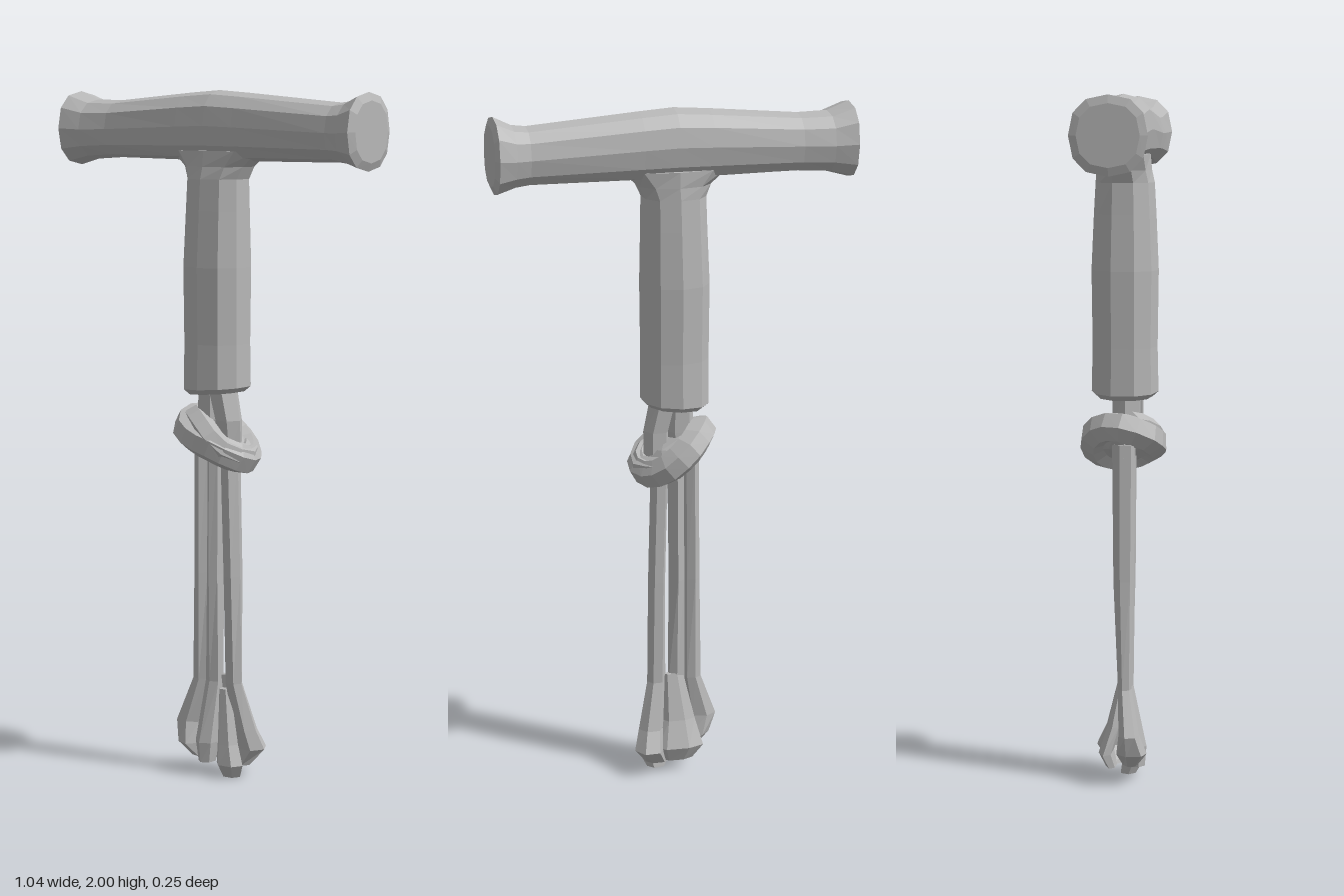
import * as THREE from 'three';

const grey = new THREE.MeshStandardMaterial({ color: 0xb8b8b8 });
grey.name = 'plain grey';
grey.flatShading = true;

// Closed loft along y. Each row: [y, centreX, centreZ, radiusX, radiusZ, slantX]
function loft(rows, sides, power = 1, phase = 0, twist = 0) {
  const pos = [];
  const bend = (v) => Math.sign(v) * Math.pow(Math.abs(v), power);
  const point = (j, i) => {
    const [y, cx, cz, rx, rz, slant = 0] = rows[j];
    const a = ((i + phase) / sides) * Math.PI * 2;
    const u = bend(Math.cos(a)) * rx, w = bend(Math.sin(a)) * rz;
    const t = twist * j;
    return [cx + u * Math.cos(t) - w * Math.sin(t), y + slant * Math.cos(a),
      cz + u * Math.sin(t) + w * Math.cos(t)];
  };
  const last = rows.length - 1;
  const centre = (j) => [rows[j][1], rows[j][0], rows[j][2]];
  for (let i = 0; i < sides; i++) {
    for (let j = 0; j < last; j++) {
      const a = point(j, i), b = point(j + 1, i), c = point(j, i + 1), d = point(j + 1, i + 1);
      pos.push(...a, ...b, ...c, ...c, ...b, ...d);
    }
    pos.push(...centre(0), ...point(0, i), ...point(0, i + 1));
    pos.push(...centre(last), ...point(last, i + 1), ...point(last, i));
  }
  const geo = new THREE.BufferGeometry();
  geo.setAttribute('position', new THREE.Float32BufferAttribute(pos, 3));
  geo.computeVertexNormals();
  return geo;
}

export function createModel() {
  const model = new THREE.Group();
  model.name = 'ropeHandle';
  const add = (name, geo) => {
    const mesh = new THREE.Mesh(geo, grey);
    mesh.name = name;
    model.add(mesh);
    return mesh;
  };

  // Horizontal grip with flared ends, lofted upright and laid along x
  const bar = loft([
    [-0.521, -1.888, -0.003, 0.085, 0.085],
    [-0.515, -1.888, -0.003, 0.108, 0.106],
    [-0.45, -1.885, -0.005, 0.087, 0.094],
    [-0.36, -1.887, -0.006, 0.083, 0.085],
    [-0.1, -1.897, -0.006, 0.096, 0.085],
    [0, -1.9, -0.006, 0.1, 0.085],
    [0.1, -1.897, -0.006, 0.096, 0.085],
    [0.42, -1.885, -0.005, 0.082, 0.085],
    [0.46, -1.885, -0.005, 0.087, 0.092],
    [0.51, -1.888, -0.003, 0.108, 0.104],
    [0.52, -1.888, -0.003, 0.085, 0.08],
  ], 12, 0.85);
  bar.rotateZ(-Math.PI / 2);
  add('crossbar', bar);

  // Upright grip, widening into the crossbar
  add('gripShaft', loft([
    [1.135, -0.005, 0, 0.08, 0.08, 0.006],
    [1.15, -0.005, 0, 0.098, 0.097, 0.006],
    [1.28, -0.005, 0, 0.097, 0.094],
    [1.5, -0.005, 0, 0.099, 0.097],
    [1.66, -0.003, 0, 0.094, 0.09],
    [1.75, -0.002, 0, 0.092, 0.085],
    [1.785, 0, -0.003, 0.108, 0.08],
    [1.83, 0, -0.005, 0.16, 0.078],
  ], 10, 0.9, 0.5));

  // Rope between grip and knot: two slanting strands
  add('neckLeft', loft([
    [0.96, 0.045, 0.005, 0.04, 0.035], [1.06, 0.045, 0.012, 0.04, 0.042],
    [1.16, 0.02, 0.01, 0.045, 0.045]], 6));
  add('neckRight', loft([
    [0.96, -0.035, 0, 0.04, 0.035], [1.06, -0.02, 0.005, 0.045, 0.045],
    [1.16, -0.02, 0.005, 0.04, 0.045]], 6));

  // Knot: a tilted lumpy loop with a strand crossing it
  const loop = [];
  for (let i = 0; i < 10; i++) {
    const a = (i / 10) * Math.PI * 2;
    const r = 0.084 + 0.006 * Math.sin(a * 3);
    const x = Math.cos(a) * r;
    loop.push(new THREE.Vector3(x, 1.0 - x * 0.62 + 0.012 * Math.sin(a * 2), Math.sin(a) * r));
  }
  const rope = (points, segments, radius, closed) => new THREE.TubeGeometry(
    new THREE.CatmullRomCurve3(points, closed), segments, radius, 6, closed);
  add('knotLoop', rope(loop, 16, 0.046, true));
  const core = new THREE.IcosahedronGeometry(1, 1);
  core.scale(0.1, 0.045, 0.09).rotateZ(-0.55).translate(0, 1.0, 0);
  add('knotCore', core);
  const crossing = [[-0.07, 1.06, 0.02], [-0.01, 1.04, 0.065], [0.06, 0.985, 0.075],
    [0.09, 0.955, 0.0], [0.04, 0.965, -0.075]];
  add('knotCrossing', rope(crossing.map((p) => new THREE.Vector3(...p)), 8, 0.038, false));

  // Hanging strands, pinched together and frayed at the bottom
  const strands = {
    leftStrand: [[0.03, 0.055, -0.03, 0.035, 0.02], [0.08, 0.085, -0.05, 0.045, 0.045],
      [0.14, 0.075, -0.03, 0.038, 0.035], [0.28, 0.052, -0.004, 0.028, 0.024],
      [0.6, 0.05, -0.003, 0.026, 0.033], [1.0, 0.04, -0.002, 0.026, 0.036]],
    rightStrand: [[0.05, -0.05, 0.02, 0.03, 0.022], [0.09, -0.08, 0.025, 0.038, 0.045],
      [0.15, -0.095, 0.018, 0.043, 0.03], [0.28, -0.062, 0.004, 0.026, 0.02],
      [0.6, -0.057, 0, 0.024, 0.03], [1.0, -0.053, 0, 0.024, 0.034]],
    middleStrand: [[0.04, -0.02, 0.03, 0.025, 0.03], [0.1, -0.02, 0.03, 0.035, 0.035],
      [0.28, -0.012, 0.004, 0.028, 0.022], [0.6, -0.012, 0, 0.024, 0.03],
      [1.0, -0.008, 0, 0.024, 0.034]],
    frontFray: [[0.0, 0.05, 0.005, 0.03, 0.025], [0.04, 0.055, 0.02, 0.045, 0.035],
      [0.1, 0.045, 0.015, 0.035, 0.03], [0.26, 0.025, 0.004, 0.02, 0.015]],
    backFray: [[0.035, -0.005, -0.04, 0.045, 0.016], [0.08, -0.01, -0.055, 0.07, 0.022],
      [0.16, -0.01, -0.03, 0.05, 0.02], [0.3, 0, -0.006, 0.03, 0.012]],
  };
  Object.entries(strands).forEach(([name, rows], k) => add(name, loft(rows, 6, 1, k * 0.3)));

  return model;
}
